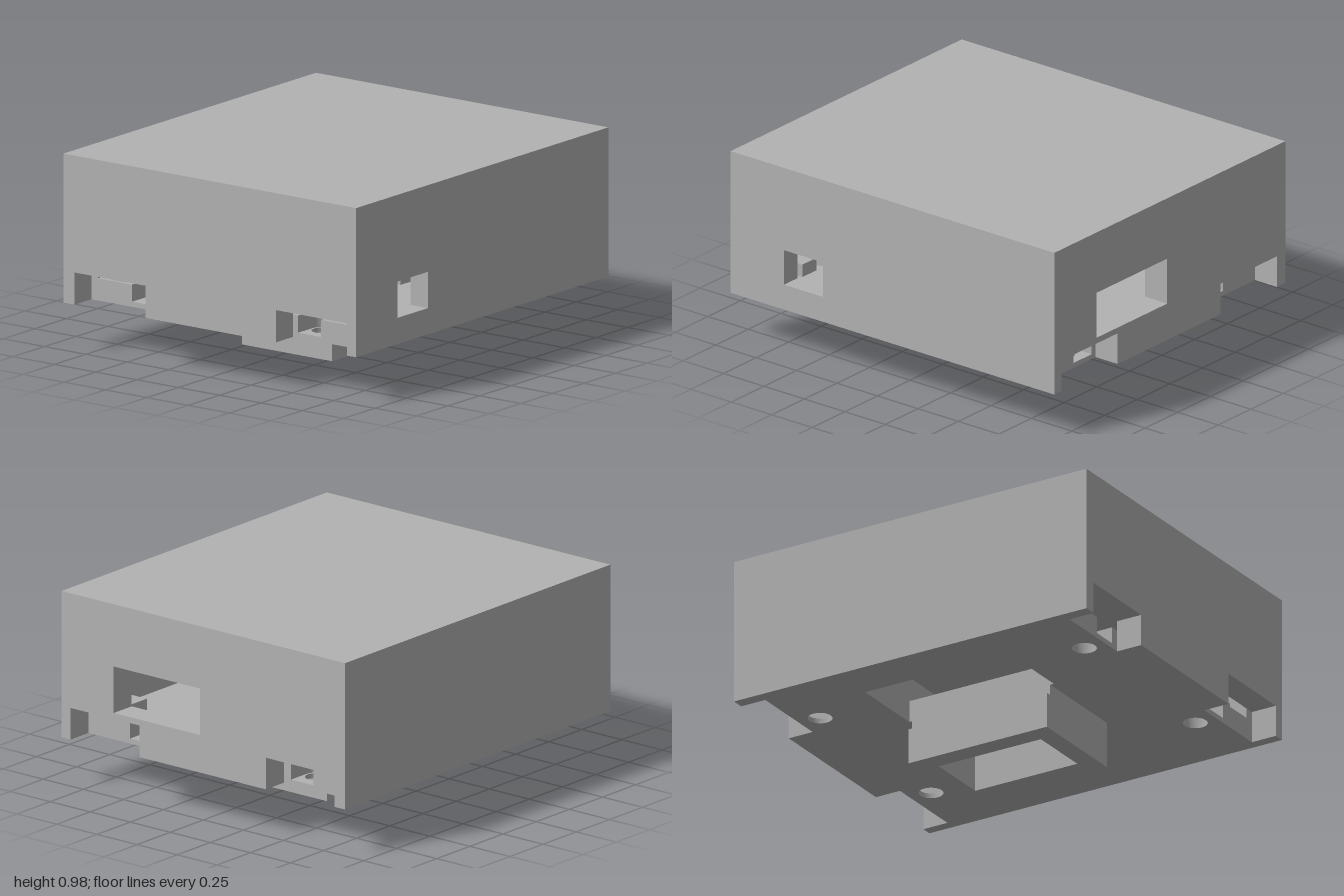
import * as THREE from 'three';

const grey = new THREE.MeshStandardMaterial({ color: 0xb2b2b2 });
grey.name = 'grey plastic';

const HX = 1, HZ = 0.885, BASE = 0.235, TOP = 0.975; // outer housing
const IX = 0.864, IZ = 0.78, FLOOR = 0.345;          // inner cavity

export function createModel() {
  const model = new THREE.Group();

  const add = (name, geometry) => {
    const mesh = new THREE.Mesh(geometry, grey);
    mesh.name = name;
    model.add(mesh);
    return mesh;
  };
  // box given by its limits
  const box = (name, x0, x1, y0, y1, z0, z1) =>
    add(name, new THREE.BoxGeometry(x1 - x0, y1 - y0, z1 - z0)
      .translate((x0 + x1) / 2, (y0 + y1) / 2, (z0 + z1) / 2));
  const outline = (pts) => new THREE.Shape(pts.map(([a, b]) => new THREE.Vector2(a, b)));
  const rect = (a0, a1, b0, b1) => outline([[a0, b0], [a1, b0], [a1, b1], [a0, b1]]);
  const extrude = (shape, depth) =>
    new THREE.ExtrudeGeometry(shape, { depth, bevelEnabled: false, curveSegments: 20 });
  // slab drawn in x and z, between two heights
  const slab = (name, shape, y0, y1) =>
    add(name, extrude(shape, y1 - y0).rotateX(Math.PI / 2).translate(0, y1, 0));

  // Lid, back wall and front wall with its small port
  box('lid', -HX, HX, 0.87, TOP, -HZ, HZ);
  box('backWall', -IX, IX, BASE, 0.87, -HZ, -IZ);
  const front = rect(-IX, IX, BASE, 0.87);
  front.holes.push(rect(-0.67, -0.43, 0.365, 0.545));
  add('frontWall', extrude(front, HZ - IZ).translate(0, 0, IZ));

  // Side walls with two notches at the foot; the left one has a large port
  for (const side of [1, -1]) {
    const wall = outline([
      [-HZ, BASE], [-0.82, BASE], [-0.82, 0.395], [-0.39, 0.395], [-0.39, BASE],
      [0.4, BASE], [0.4, 0.395], [0.83, 0.395], [0.83, BASE], [HZ, BASE],
      [HZ, 0.87], [-HZ, 0.87],
    ]);
    if (side > 0) wall.holes.push(rect(0.02, 0.56, 0.425, 0.66));
    add(side > 0 ? 'leftWall' : 'rightWall',
      extrude(wall, HX - IX).rotateY(-Math.PI / 2).translate(side > 0 ? HX : -IX, 0, 0));
  }

  // Base plate: thin lower layer with round holes, thicker upper layer with open slots
  const openings = () => [rect(-0.41, 0.41, -0.64, -0.24), rect(-0.29, 0.29, -0.165, 0.165)];
  const lower = rect(-IX, IX, -IZ, IZ);
  lower.holes.push(...openings());
  for (const x of [-0.75, 0.75]) for (const z of [-0.505, 0.5]) {
    lower.holes.push(new THREE.Path().absarc(x, z, 0.06, 0, Math.PI * 2));
  }
  slab('basePlateLower', lower, BASE, 0.26);

  const r = 0.07, q = Math.PI / 2;
  const upper = new THREE.Shape();
  upper.moveTo(-IX, -IZ).lineTo(IX, -IZ);
  for (const z of [-0.505, 0.5]) {
    upper.lineTo(IX, z - r).lineTo(0.75, z - r);
    upper.absarc(0.75, z, r, -q, q, true);
    upper.lineTo(IX, z + r);
  }
  upper.lineTo(IX, IZ).lineTo(-IX, IZ);
  for (const z of [0.5, -0.505]) {
    upper.lineTo(-IX, z + r).lineTo(-0.75, z + r);
    upper.absarc(-0.75, z, r, q, -q, true);
    upper.lineTo(-IX, z - r);
  }
  upper.holes.push(...openings());
  slab('basePlateUpper', upper, 0.26, FLOOR);

  // Hollow plug under the base, with a lip along its back edge
  const plug = rect(-0.39, 0.395, -0.24, 0.275);
  plug.holes.push(rect(-0.29, 0.29, -0.165, 0.165));
  slab('plug', plug, 0, BASE);
  box('plugLip', -0.39, 0.395, 0, 0.18, -0.27, -0.24);

  // Posts standing on the base plate, round at the back and square at the front
  for (const x of [-0.75, 0.75]) {
    add('backPost', new THREE.CylinderGeometry(0.102, 0.102, 0.06, 32)
      .translate(x, FLOOR + 0.03, -0.677));
    box('frontPost', x - 0.06, x + 0.06, FLOOR, 0.41, 0.61, 0.72);
  }
  // Small stop behind the front port
  box('portStop', -0.51, -0.36, 0.48, 0.6, 0.68, IZ);

  return model;
}
